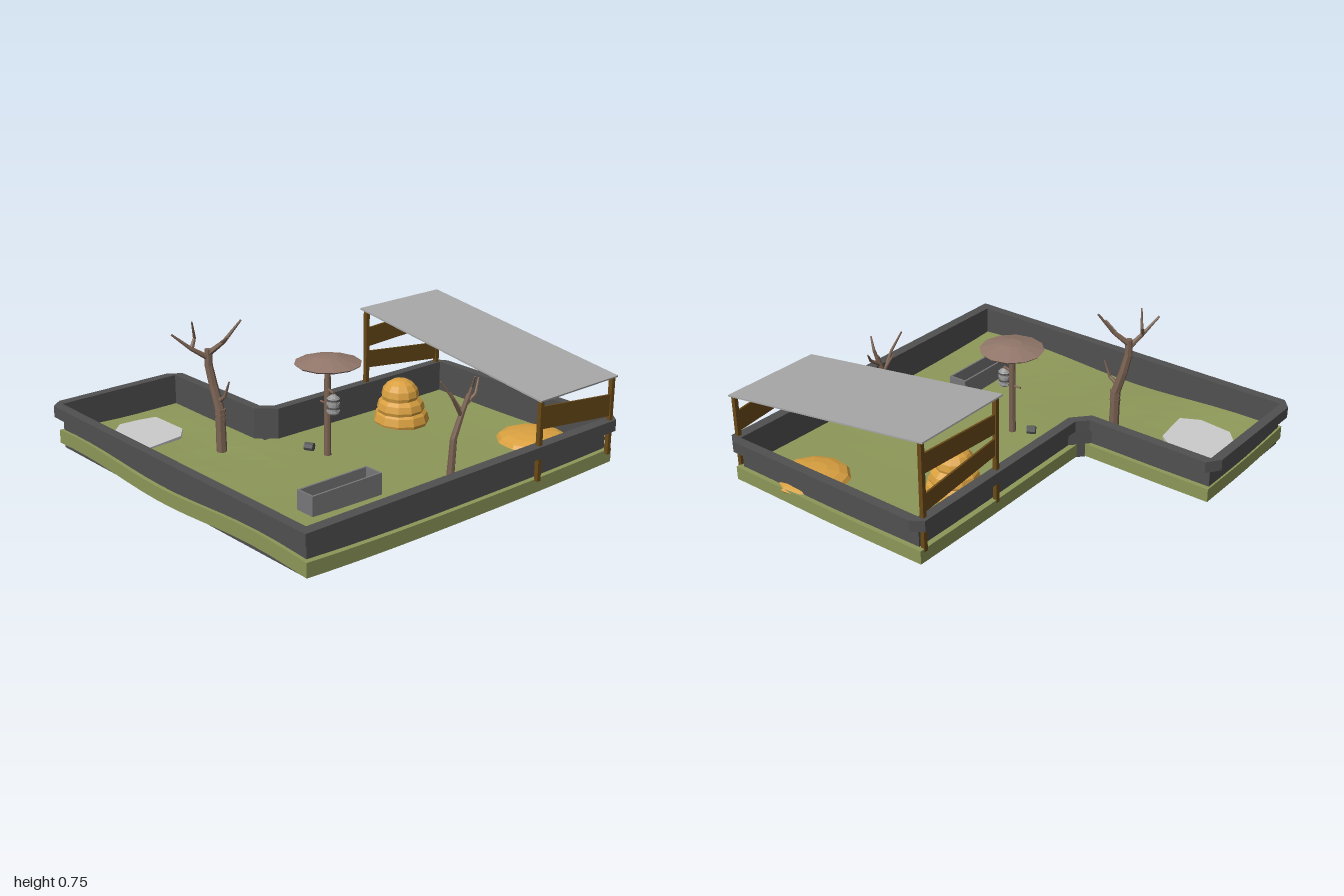
import * as THREE from 'three';

const mat = (color, side = THREE.FrontSide) =>
  new THREE.MeshStandardMaterial({ color, side, flatShading: true });
const M = {
  wall: mat(0x505050, THREE.DoubleSide), grass: mat(0x8d9859), bark: mat(0x7b6353),
  canopy: mat(0x92776a), wood: mat(0x6a4a18), hay: mat(0xd9a040), roof: mat(0xa8a8a8),
  pool: mat(0xcccccc), metal: mat(0x999999), trough: mat(0x77777a), dark: mat(0x555555),
};

// Outlines as [x, z]
const OUTER = [[-1, 0.29], [-0.95, 0.22], [-0.29, 0.22], [-0.24, 0.17], [-0.24, -0.96], [-0.18, -1],
  [0.95, -1], [1, -0.96], [1, 1], [-0.95, 1], [-1, 0.94]];
const INNER = [[-0.95, 0.27], [-0.27, 0.27], [-0.19, 0.18], [-0.19, -0.95], [0.945, -0.95],
  [0.945, 0.95], [-0.95, 0.95]];
const POOL = [[-0.83, 0.48], [-0.6, 0.475], [-0.52, 0.54], [-0.49, 0.75], [-0.59, 0.8],
  [-0.77, 0.78], [-0.86, 0.68], [-0.85, 0.57]];

const vecs = (pts) => pts.map(([x, z]) => new THREE.Vector2(x, -z));

function slab(outline, hole, y, height) {
  const shape = new THREE.Shape(vecs(outline));
  if (hole) shape.holes.push(new THREE.Path(vecs(hole)));
  const g = new THREE.ExtrudeGeometry(shape, { depth: height, bevelEnabled: false });
  return g.rotateX(-Math.PI / 2).translate(0, y, 0);
}

// Upright sheet following a closed outline
function fence(outline, y0, y1) {
  const p = [];
  outline.forEach(([ax, az], i) => {
    const [bx, bz] = outline[(i + 1) % outline.length];
    p.push(ax, y0, az, bx, y0, bz, bx, y1, bz, ax, y0, az, bx, y1, bz, ax, y1, az);
  });
  const g = new THREE.BufferGeometry();
  g.setAttribute('position', new THREE.Float32BufferAttribute(p, 3));
  g.computeVertexNormals();
  return g;
}

// Rolling ground height
function groundHeight(x, z) {
  const bump = (cx, cz, r) => Math.exp(-((x - cx) ** 2 + (z - cz) ** 2) / (r * r));
  const front = Math.max(z, 0) ** 3;
  return 0.1 + front * (0.012 + 0.018 * Math.cos((x + 0.78) * 4.5)) - 0.012 * Math.max(x, 0) * (1 - z * z)
    - 0.018 * (bump(-0.68, 0.6, 0.22) + 0.7 * bump(-0.2, 0.54, 0.14) + bump(0.3, -0.55, 0.45));
}

function turf(x0, x1, z0, z1) {
  const w = x1 - x0, d = z1 - z0;
  const g = new THREE.BoxGeometry(w, 0.07, d, Math.round(w / 0.12), 1, Math.round(d / 0.12));
  g.translate((x0 + x1) / 2, -0.035, (z0 + z1) / 2);
  const p = g.attributes.position;
  for (let i = 0; i < p.count; i++) p.setY(i, p.getY(i) + groundHeight(p.getX(i), p.getZ(i)));
  g.computeVertexNormals();
  return g;
}

// Tapered limb through points, ending in radius r1
function limb(group, pts, r0, r1, material = M.bark) {
  const v = pts.map((p) => new THREE.Vector3(...p));
  const n = v.length - 1;
  for (let i = 0; i < n; i++) {
    const dir = v[i + 1].clone().sub(v[i]);
    const ra = r0 + (r1 - r0) * (i / n), rb = r0 + (r1 - r0) * ((i + 1) / n);
    const m = new THREE.Mesh(new THREE.CylinderGeometry(rb, ra, dir.length() + rb * 0.5, 7), material);
    m.name = 'limb';
    m.position.copy(v[i]).add(v[i + 1]).multiplyScalar(0.5);
    m.quaternion.setFromUnitVectors(new THREE.Vector3(0, 1, 0), dir.normalize());
    group.add(m);
  }
}

export function createModel() {
  const root = new THREE.Group();
  const group = (name) => {
    const g = new THREE.Group();
    g.name = name;
    root.add(g);
    return g;
  };
  const add = (parent, name, geo, material, x = 0, y = 0, z = 0) => {
    const m = new THREE.Mesh(geo, material);
    m.name = name;
    m.position.set(x, y, z);
    parent.add(m);
    return m;
  };

  // Enclosure wall with overhanging rim and closed base
  const enclosure = group('enclosure');
  add(enclosure, 'rim', slab(OUTER, INNER, 0.2, 0.058), M.wall);
  add(enclosure, 'wall', fence(INNER, 0.026, 0.2), M.wall);
  add(enclosure, 'base', new THREE.ShapeGeometry(new THREE.Shape(vecs(INNER))).rotateX(-Math.PI / 2), M.wall, 0, 0.026, 0);

  // Ground and pool
  const ground = group('ground');
  add(ground, 'mainTurf', turf(-0.22, 0.97, -0.975, 0.97), M.grass);
  add(ground, 'sideTurf', turf(-0.96, -0.22, 0.245, 0.97), M.grass);
  add(ground, 'pool', slab(POOL, null, 0.09, 0.018), M.pool);

  // Shelter: sloping roof of six panels on four posts
  const shelter = group('shelter');
  const roofY = (x) => 0.65 - (x + 0.24) * (0.172 / 1.23);
  const slope = -Math.atan(0.172 / 1.23);
  for (let i = 0; i < 6; i++) {
    const x = -0.24 + (i + 0.5) * 0.205;
    const panel = add(shelter, 'roofPanel', new THREE.BoxGeometry(0.208, 0.008, 0.555), M.roof, x, roofY(x), -0.685);
    panel.rotation.z = slope;
  }
  for (const x of [-0.21, 0.975]) for (const z of [-0.425, -0.938]) {
    const top = roofY(x);
    add(shelter, 'post', new THREE.BoxGeometry(0.022, top - 0.08, 0.022), M.wood, x, (top + 0.08) / 2, z);
  }
  // Side boards: [x, front bottom y, back bottom y, height]
  for (const [x, yf, yb, h] of [[0.975, 0.337, 0.278, 0.11], [-0.21, 0.337, 0.278, 0.09], [-0.21, 0.45, 0.475, 0.1]]) {
    const board = new THREE.Shape([[0.42, yf], [0.94, yb], [0.94, yb + h], [0.42, yf + h]].map(([a, b]) => new THREE.Vector2(a, b)));
    const g = new THREE.ExtrudeGeometry(board, { depth: 0.01, bevelEnabled: false }).rotateY(Math.PI / 2);
    add(shelter, 'sideBoard', g, M.wood, x - 0.005, 0, 0);
  }

  // Hay: a tiered stack and a flat heap
  const hay = group('hay');
  for (const [x, y, z, r, h] of [[0, 0.1, -0.48, 0.145, 0.1], [0, 0.165, -0.475, 0.125, 0.085],
    [0, 0.235, -0.47, 0.098, 0.085], [0.62, 0.085, -0.8, 0.185, 0.05]]) {
    add(hay, 'hayHeap', new THREE.SphereGeometry(1, 11, 8), M.hay, x, y, z).scale.set(r, h, r);
  }

  // Parasol: post with a faceted canopy and side pegs
  const parasol = group('parasol');
  add(parasol, 'post', new THREE.CylinderGeometry(0.015, 0.018, 0.49, 8), M.bark, 0.125, 0.325, 0.13);
  const profile = [[0, 0.56], [0.155, 0.558], [0.163, 0.566], [0.05, 0.597], [0, 0.6]];
  add(parasol, 'canopy', new THREE.LatheGeometry(profile.map(([r, y]) => new THREE.Vector2(r, y)), 12), M.canopy, 0.123, 0, 0.125);
  limb(parasol, [[0.125, 0.435, 0.13], [0.19, 0.435, 0.15]], 0.007, 0.007);
  limb(parasol, [[0.125, 0.36, 0.13], [0.075, 0.36, 0.13]], 0.006, 0.005);

  // Hanging feeder with ribs, and a spare can lying below
  const feeder = group('feeder');
  add(feeder, 'body', new THREE.CylinderGeometry(0.027, 0.027, 0.08, 10), M.metal, 0.19, 0.375, 0.15);
  add(feeder, 'lid', new THREE.CylinderGeometry(0.012, 0.032, 0.018, 10), M.metal, 0.19, 0.418, 0.15);
  add(feeder, 'foot', new THREE.CylinderGeometry(0.03, 0.018, 0.012, 10), M.metal, 0.19, 0.334, 0.15);
  for (let i = 0; i < 4; i++)
    add(feeder, 'rib', new THREE.CylinderGeometry(0.032, 0.032, 0.007, 10), i % 2 ? M.dark : M.metal, 0.19, 0.346 + i * 0.019, 0.15);
  const can = add(feeder, 'can', new THREE.CylinderGeometry(0.022, 0.022, 0.045, 8), M.dark, 0.03, 0.12, 0.165);
  can.rotation.set(0, 0.5, Math.PI / 2);

  // Open trough
  const trough = group('trough');
  for (const s of [-1, 1]) {
    add(trough, 'longSide', new THREE.BoxGeometry(0.01, 0.12, 0.41), M.trough, 0.587 + s * 0.048, 0.14, 0.455);
    add(trough, 'shortSide', new THREE.BoxGeometry(0.1, 0.12, 0.01), M.trough, 0.587, 0.14, 0.455 + s * 0.2);
  }

  // Bare trees
  const tall = group('tallTree');
  limb(tall, [[-0.26, 0.07, 0.48], [-0.265, 0.3, 0.48], [-0.3, 0.42, 0.49], [-0.32, 0.52, 0.5], [-0.32, 0.6, 0.5]], 0.027, 0.018);
  limb(tall, [[-0.32, 0.56, 0.5], [-0.35, 0.615, 0.58], [-0.39, 0.69, 0.66]], 0.015, 0.005);
  limb(tall, [[-0.35, 0.615, 0.575], [-0.36, 0.66, 0.55], [-0.335, 0.75, 0.58]], 0.011, 0.004);
  limb(tall, [[-0.32, 0.58, 0.5], [-0.26, 0.645, 0.45], [-0.21, 0.75, 0.385]], 0.016, 0.005);
  limb(tall, [[-0.27, 0.64, 0.455], [-0.2, 0.685, 0.47]], 0.01, 0.004);
  limb(tall, [[-0.28, 0.34, 0.485], [-0.23, 0.38, 0.475], [-0.2, 0.46, 0.47]], 0.013, 0.004);
  for (const y of [0.255, 0.28, 0.305])
    add(tall, 'trunkRing', new THREE.CylinderGeometry(0.028, 0.028, 0.012, 7), M.bark, -0.263, y, 0.48);

  const small = group('smallTree');
  limb(small, [[0.68, 0.07, -0.15], [0.685, 0.27, -0.16], [0.695, 0.38, -0.195], [0.71, 0.48, -0.225]], 0.02, 0.012);
  limb(small, [[0.695, 0.38, -0.195], [0.7, 0.48, -0.13], [0.68, 0.57, -0.07]], 0.011, 0.004);
  limb(small, [[0.705, 0.44, -0.22], [0.71, 0.475, -0.27], [0.68, 0.535, -0.32]], 0.011, 0.004);
  limb(small, [[0.71, 0.46, -0.22], [0.72, 0.52, -0.235], [0.75, 0.58, -0.22]], 0.011, 0.004);
  limb(small, [[0.69, 0.4, -0.2], [0.65, 0.49, -0.165]], 0.009, 0.003);

  return root;
}
